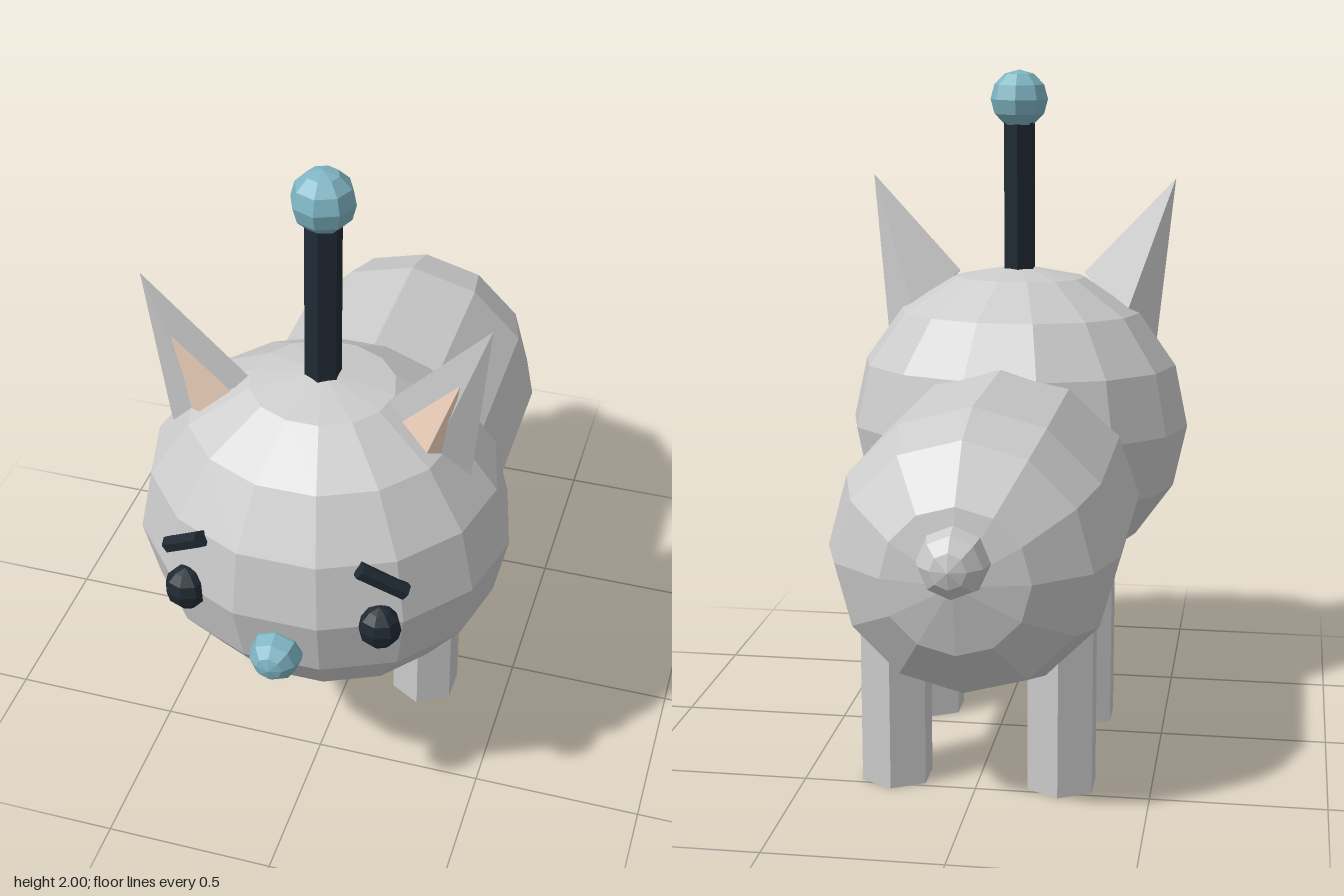
import * as THREE from 'three';
import { ConvexGeometry } from 'three/addons/geometries/ConvexGeometry.js';

const material = (color) => new THREE.MeshStandardMaterial({ color, flatShading: true });

export function createModel() {
  const group = new THREE.Group();
  const fur = material(0xcccccc);
  const dark = material(0x1f2933);
  const blue = material(0x7fb5c4);
  const peach = material(0xf0d2bc);

  const add = (name, geometry, mat, x = 0, y = 0, z = 0) => {
    const mesh = new THREE.Mesh(geometry, mat);
    mesh.name = name;
    mesh.position.set(x, y, z);
    group.add(mesh);
    return mesh;
  };
  const ball = (rx, ry, rz, sides = 8, rows = 6) =>
    new THREE.SphereGeometry(1, sides, rows).scale(rx, ry, rz);
  // Six-sided rod between two points
  const rod = (name, from, to, radius, mat) => {
    const a = new THREE.Vector3(...from), b = new THREE.Vector3(...to);
    const mid = a.clone().add(b).multiplyScalar(0.5);
    const mesh = add(name, new THREE.CylinderGeometry(radius, radius, a.distanceTo(b), 6), mat, mid.x, mid.y, mid.z);
    mesh.quaternion.setFromUnitVectors(new THREE.Vector3(0, 1, 0), b.sub(a).normalize());
  };

  // Body: capsule lying along z, with flattened ends
  const flat = 0.83;
  const bodyShape = new THREE.CapsuleGeometry(0.41, 0.77 / flat, 3, 12);
  bodyShape.rotateX(Math.PI / 2).scale(1, 1, flat);
  add('body', bodyShape, fur, 0, 0.72, -0.145);

  // Head, nodding slightly forward
  add('head', ball(0.54, 0.505, 0.487, 14, 8), fur, 0, 0.885, 0.4).rotation.x = 0.04;

  // Tail and nose, with their poles along z
  add('tail', ball(0.1, 0.1, 0.1).rotateX(Math.PI / 2), fur, 0, 0.78, -0.845);
  add('nose', ball(0.075, 0.075, 0.075).rotateX(Math.PI / 2), blue, 0, 0.745, 0.87);

  // Antenna on top of the head
  rod('antennaStem', [0, 1.33, 0.412], [0, 1.88, 0.387], 0.052, dark);
  add('antennaBall', ball(0.09, 0.09, 0.09), blue, 0, 1.91, 0.385);

  for (const s of [1, -1]) {
    const side = s > 0 ? 'left' : 'right';
    const ear = (points) => new ConvexGeometry(points.map(([x, y, z]) => new THREE.Vector3(s * x, y, z)));

    // Legs
    for (const [end, z] of [['Front', 0.135], ['Back', -0.428]]) {
      add(`${side}${end}Leg`, new THREE.CylinderGeometry(0.107, 0.107, 0.56, 6), fur, s * 0.241, 0.28, z);
    }

    // Face
    add(`${side}Eye`, ball(0.062, 0.068, 0.055), dark, s * 0.277, 0.868, 0.81);
    rod(`${side}Eyebrow`, [s * 0.222, 1.06, 0.815], [s * 0.338, 0.975, 0.77], 0.025, dark);

    // Ears: four-sided pyramids, each with a smaller lining in front
    add(`${side}Ear`, ear([
      [0.485, 1.662, 0.488], [0.2, 1.36, 0.46], [0.435, 1.155, 0.455],
      [0.33, 1.22, 0.505], [0.34, 1.235, 0.385],
    ]), fur);
    add(`${side}EarLining`, ear([
      [0.405, 1.478, 0.497], [0.24, 1.31, 0.482], [0.365, 1.215, 0.487],
      [0.32, 1.24, 0.525], [0.325, 1.25, 0.46],
    ]), peach);
  }
  return group;
}
